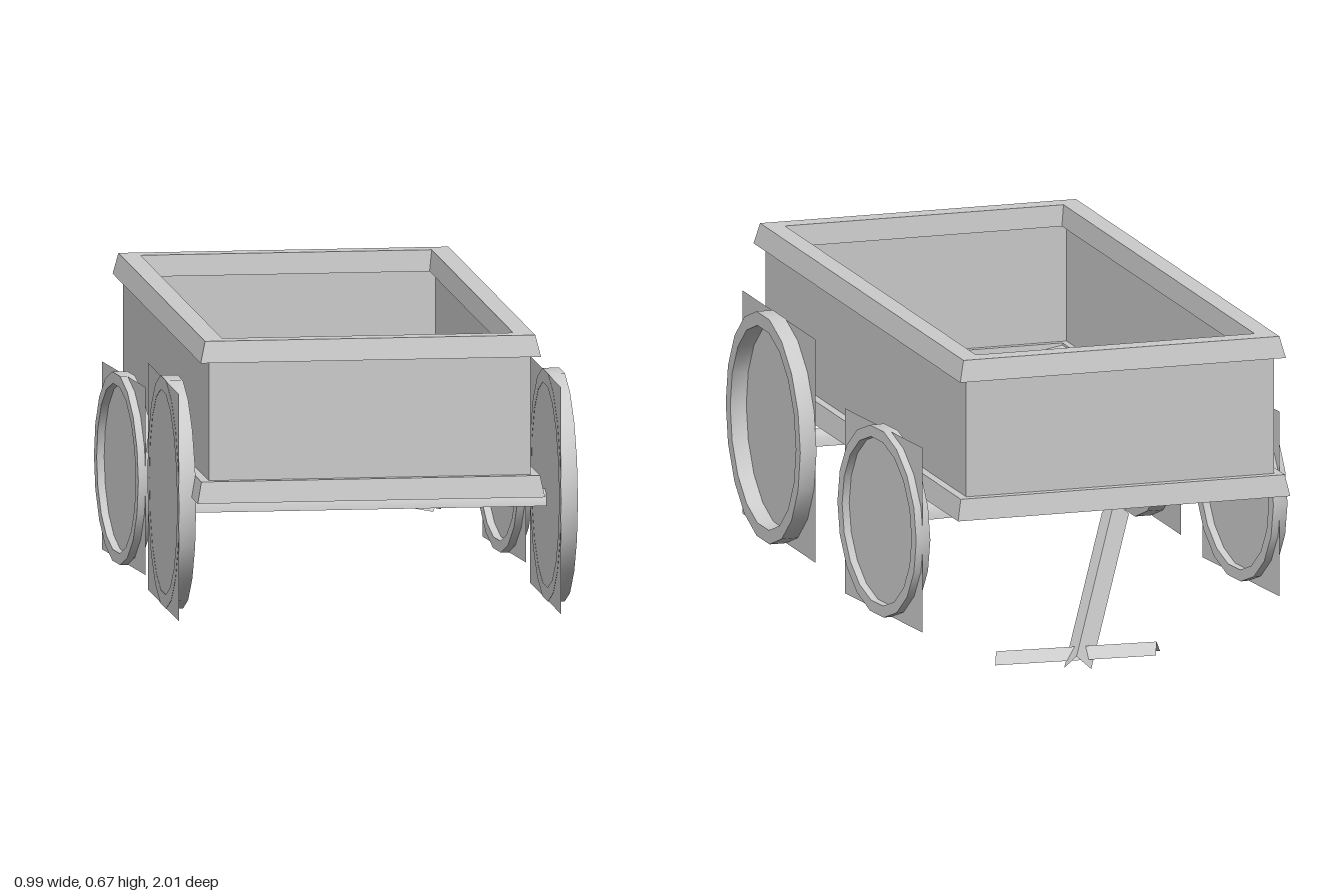
import * as THREE from 'three';
import { toCreasedNormals } from 'three/addons/utils/BufferGeometryUtils.js';

const material = new THREE.MeshStandardMaterial({ color: 0xcccccc, side: THREE.DoubleSide });
const CX = -0.021, CZ = 0.235, HALF_X = 0.379, HALF_Z = 0.735;

function add(parent, name, geometry) {
  const mesh = new THREE.Mesh(geometry, material);
  mesh.name = name;
  parent.add(mesh);
  return mesh;
}

// Rectangular frame: sweeps a closed section of [outward offset, height] round the wagon bed
function frame(section) {
  const corners = [[1, 1], [1, -1], [-1, -1], [-1, 1]];
  const point = (c, p) => {
    const [sx, sz] = corners[c % 4], [d, y] = section[p % section.length];
    return [CX + sx * (HALF_X + d), y, CZ + sz * (HALF_Z + d)];
  };
  const positions = [];
  for (let c = 0; c < 4; c++) {
    for (let p = 0; p < section.length; p++) {
      const a = point(c, p), b = point(c + 1, p), e = point(c + 1, p + 1), f = point(c, p + 1);
      positions.push(...a, ...b, ...e, ...a, ...e, ...f);
    }
  }
  const geometry = new THREE.BufferGeometry();
  geometry.setAttribute('position', new THREE.Float32BufferAttribute(positions, 3));
  geometry.computeVertexNormals();
  return geometry;
}

// Shallow trough, rising to the long sides
function troughFloor(width, length, low, high) {
  const geometry = new THREE.PlaneGeometry(width, length, 10, 1).rotateX(-Math.PI / 2);
  const position = geometry.attributes.position;
  for (let i = 0; i < position.count; i++) {
    const t = position.getX(i) / (width / 2);
    position.setY(i, low + (high - low) * t * t);
  }
  geometry.computeVertexNormals();
  return geometry;
}

// Open-bottomed bar between two points, arched over its underside
function archedBar(from, to, radius, height, sides) {
  const a = new THREE.Vector3(...from), b = new THREE.Vector3(...to);
  const along = b.clone().sub(a), length = along.length();
  along.normalize();
  const across = along.clone().cross(new THREE.Vector3(0, 1, 0)).normalize();
  const up = across.clone().cross(along);
  const geometry = new THREE.CylinderGeometry(radius, radius, length, sides, 1, true, -Math.PI / 2, Math.PI);
  geometry.scale(1, 1, height / radius);
  geometry.applyMatrix4(new THREE.Matrix4().makeBasis(across, along, up));
  const mid = a.add(b).multiplyScalar(0.5);
  geometry.translate(mid.x, mid.y, mid.z);
  return toCreasedNormals(geometry, 0.8);
}

// Tyre ring plus the square panel that fills it; the wheel's axis is x
function wheel(name, radius, width, panelX) {
  const group = new THREE.Group();
  group.name = name;
  const shape = new THREE.Shape().absarc(0, 0, radius, 0, Math.PI * 2);
  shape.holes.push(new THREE.Path().absarc(0, 0, radius * 0.88, 0, Math.PI * 2, true));
  const tyre = new THREE.ExtrudeGeometry(shape, { depth: width, bevelEnabled: false, curveSegments: 9 });
  tyre.translate(0, 0, -width / 2);
  tyre.rotateY(Math.PI / 2);
  add(group, 'tyre', toCreasedNormals(tyre, 0.6));
  const panel = add(group, 'wheelPanel', new THREE.PlaneGeometry(radius * 1.96, radius * 1.96).rotateY(Math.PI / 2));
  panel.position.x = panelX;
  return group;
}

export function createModel() {
  const wagon = new THREE.Group();
  wagon.name = 'wagon';

  // Bed: flared rims, walls and floor
  add(wagon, 'topRim', frame([[0.022, 0.63], [0.01, 0.68], [-0.036, 0.68], [-0.042, 0.63]]));
  add(wagon, 'walls', frame([[0, 0.34], [0, 0.64], [-0.025, 0.64], [-0.025, 0.34]]));
  add(wagon, 'bottomRim', frame([[0.03, 0.30], [0.02, 0.35], [-0.04, 0.35], [-0.044, 0.30]]));
  const floor = add(wagon, 'floor', troughFloor(0.68, 1.39, 0.312, 0.345));
  floor.position.set(CX, 0, CZ);

  // Rear axle and wheels
  add(wagon, 'rearAxle', archedBar([-0.42, 0.229, 0.62], [0.44, 0.229, 0.62], 0.028, 0.037, 6));
  for (const [name, x] of [['rearRightWheel', -0.44], ['rearLeftWheel', 0.46]]) {
    const rear = wheel(name, 0.273, 0.04, -0.0195);
    rear.position.set(x, 0.276, 0.625);
    wagon.add(rear);
  }

  // Front axle and wheels, steered slightly
  const steering = new THREE.Group();
  steering.name = 'frontAxleAssembly';
  steering.position.set(0, 0, -0.142);
  steering.rotation.y = 0.095;
  add(steering, 'frontAxle', archedBar([-0.43, 0.229, 0], [0.45, 0.229, 0], 0.028, 0.037, 6));
  for (const [name, x] of [['frontRightWheel', -0.456], ['frontLeftWheel', 0.457]]) {
    const front = wheel(name, 0.226, 0.036, 0);
    front.position.set(x, 0.231, 0);
    steering.add(front);
  }
  wagon.add(steering);

  // Pull handle with its cross grip
  add(wagon, 'handle', archedBar([-0.018, 0.278, -0.475], [0.228, 0.024, -0.93], 0.032, 0.036, 2));
  add(wagon, 'grip', archedBar([0.05, 0.06, -0.988], [0.38, 0.018, -0.793], 0.024, 0.028, 2));
  return wagon;
}
